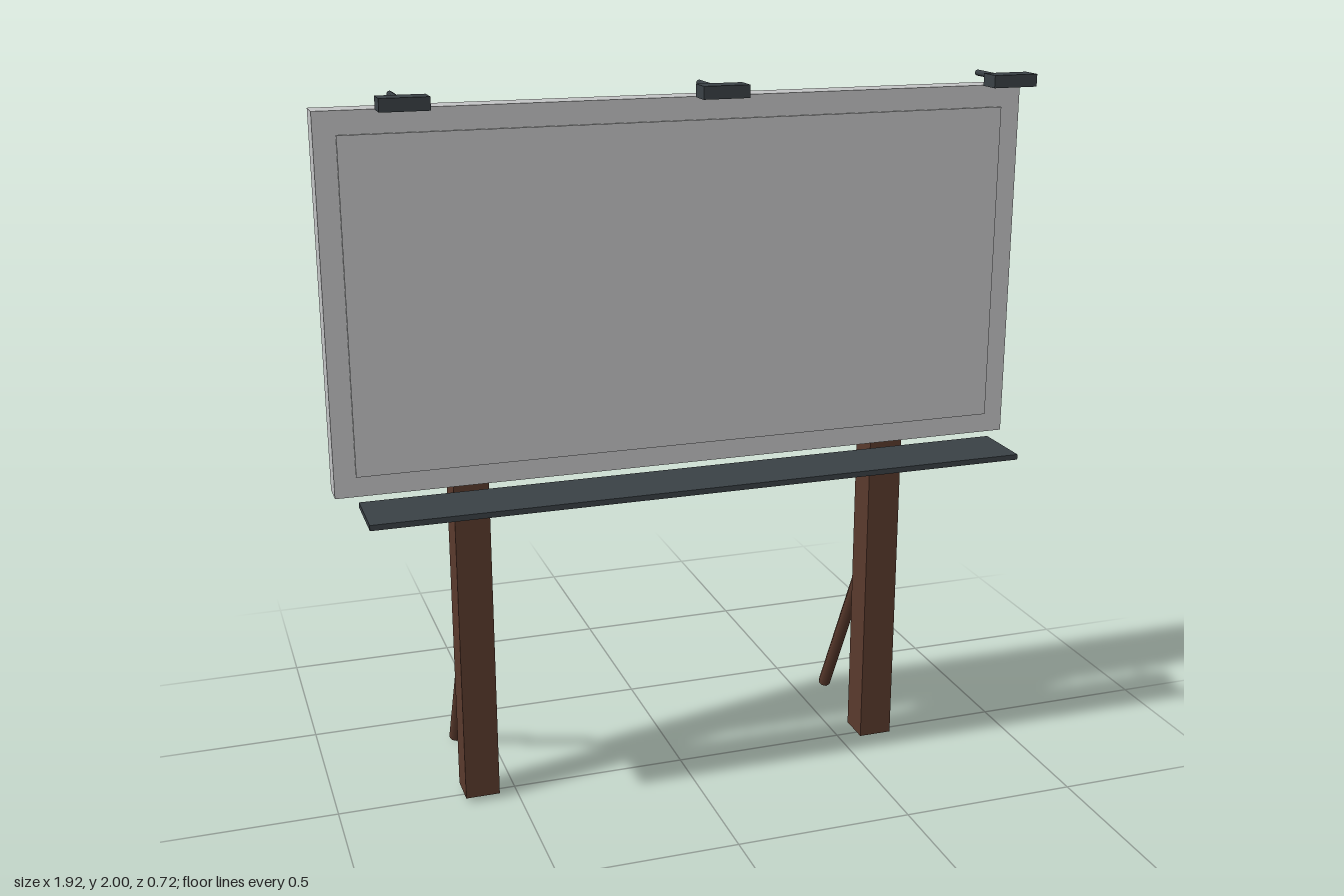
import * as THREE from 'three';

const material = (name, color) => {
  const m = new THREE.MeshStandardMaterial({ color });
  m.name = name;
  return m;
};

export function createModel() {
  const group = new THREE.Group();
  group.name = 'billboard';
  const grey = material('pale grey', 0xc4c5c6);
  const brown = material('brown wood', 0x5a3a2d);
  const dark = material('dark metal', 0x3a4146);

  // Box given by its extents
  const box = (name, mat, [x0, x1], [y0, y1], [z0, z1]) => {
    const mesh = new THREE.Mesh(new THREE.BoxGeometry(x1 - x0, y1 - y0, z1 - z0), mat);
    mesh.position.set((x0 + x1) / 2, (y0 + y1) / 2, (z0 + z1) / 2);
    mesh.name = name;
    group.add(mesh);
  };

  // Round bar between two points
  const bar = (name, mat, from, to, radius) => {
    const dir = to.clone().sub(from);
    const mesh = new THREE.Mesh(new THREE.CylinderGeometry(radius, radius, dir.length(), 8), mat);
    mesh.position.copy(from).add(to).multiplyScalar(0.5);
    mesh.quaternion.setFromUnitVectors(new THREE.Vector3(0, 1, 0), dir.normalize());
    mesh.name = name;
    group.add(mesh);
  };

  // Board with a thin raised display face
  box('board', grey, [-0.962, 0.962], [0.945, 1.94], [-0.015, 0.06]);
  box('displayFace', grey, [-0.905, 0.905], [1.0, 1.88], [0.058, 0.067]);

  // Walkway below the board
  box('walkway', dark, [-0.905, 0.905], [0.925, 0.94], [0.09, 0.27]);

  // Posts with slanted rear braces
  for (const x of [-0.602, 0.602]) {
    box('post', brown, [x - 0.048, x + 0.048], [0.015, 1.037], [-0.045, 0.051]);
    bar('brace', brown, new THREE.Vector3(x, 0.01, -0.343), new THREE.Vector3(x, 0.62, -0.023), 0.019);
  }

  // Lamps on short arms
  for (const x of [-0.783, 0, 0.783]) {
    box('lamp', dark, [x - 0.06, x + 0.06], [1.968, 2.0], [0.301, 0.361]);
    bar('lampArm', dark, new THREE.Vector3(x, 1.985, 0.15), new THREE.Vector3(x, 1.985, 0.32), 0.008);
  }
  return group;
}
